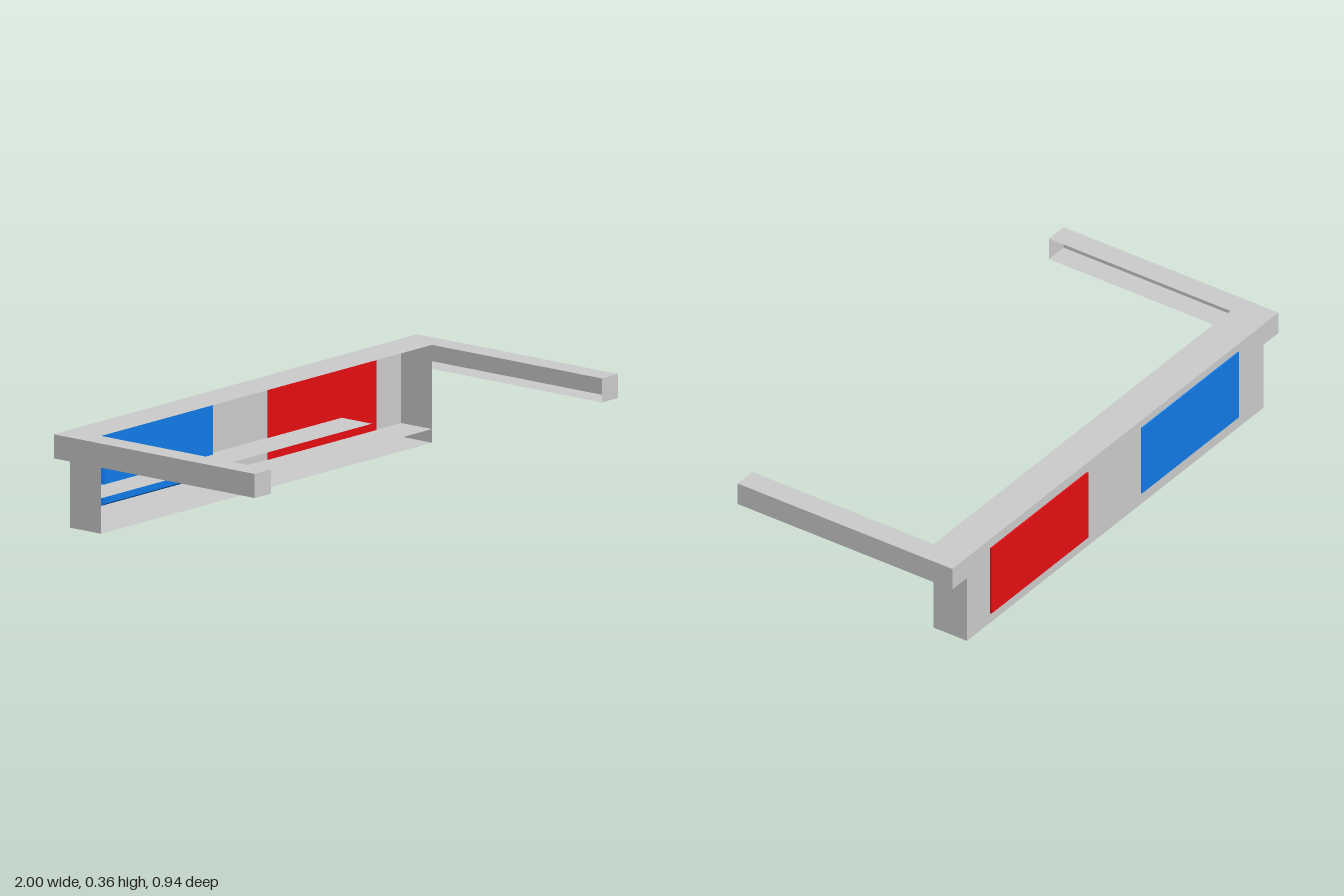
import * as THREE from 'three';

const BACK = -0.465, FRONT = -0.32, TIP = 0.472;   // z of trough back, trough mouth, arm ends
const INNER = 0.91, OUTER = 1, TOP = 0.358, ARM = 0.27;

const grey = new THREE.MeshStandardMaterial({ color: 0xcccccc, flatShading: true, side: THREE.DoubleSide });
const red = new THREE.MeshStandardMaterial({ color: 0xe60d12, flatShading: true });
const blue = new THREE.MeshStandardMaterial({ color: 0x117ae6, flatShading: true });

// Thin sheet spanning two opposite corners; the axis with no extent is its normal
function sheet(name, [x0, y0, z0], [x1, y1, z1]) {
  const w = Math.abs(x1 - x0), h = Math.abs(y1 - y0), d = Math.abs(z1 - z0);
  let geo;
  if (w === 0) geo = new THREE.PlaneGeometry(d, h).rotateY(Math.PI / 2);
  else if (h === 0) geo = new THREE.PlaneGeometry(w, d).rotateX(-Math.PI / 2);
  else geo = new THREE.PlaneGeometry(w, h);
  geo.translate((x0 + x1) / 2, (y0 + y1) / 2, (z0 + z1) / 2);
  const mesh = new THREE.Mesh(geo, grey);
  mesh.name = name;
  return mesh;
}

// Solid block; its front face may be shifted up and sideways by shear
function block(name, mat, [x0, y0, z0], [x1, y1, z1], shear = 0) {
  const geo = new THREE.BoxGeometry(x1 - x0, y1 - y0, z1 - z0);
  const p = geo.attributes.position;
  for (let i = 0; i < p.count; i++) {
    if (p.getZ(i) > 0) p.setXY(i, p.getX(i) + shear, p.getY(i) + shear);
  }
  geo.translate((x0 + x1) / 2, (y0 + y1) / 2, (z0 + z1) / 2);
  geo.computeVertexNormals();
  const mesh = new THREE.Mesh(geo, mat);
  mesh.name = name;
  return mesh;
}

export function createModel() {
  const model = new THREE.Group();
  model.name = 'wingFrame';

  // One U-shaped top plate across the trough and both arms
  const u = new THREE.Shape([
    [-OUTER, -BACK], [-OUTER, -TIP], [-INNER, -TIP], [-INNER, -FRONT],
    [INNER, -FRONT], [INNER, -TIP], [OUTER, -TIP], [OUTER, -BACK],
  ].map(([x, y]) => new THREE.Vector2(x, y)));
  const top = new THREE.Mesh(new THREE.ShapeGeometry(u).rotateX(-Math.PI / 2).translate(0, TOP, 0), grey);
  top.name = 'topPlate';
  model.add(top);

  // Trough, open at the front, with two thin shelves
  const trough = new THREE.Group();
  trough.name = 'trough';
  trough.add(
    sheet('backWall', [-INNER, 0, BACK], [INNER, TOP, BACK]),
    sheet('floor', [-INNER, 0, BACK], [INNER, 0, FRONT]),
    sheet('lowerShelf', [-INNER, 0.05, BACK], [INNER, 0.05, FRONT]),
    sheet('upperShelf', [-INNER, 0.13, BACK], [0.58, 0.13, FRONT]),
  );
  model.add(trough);

  // Arms, channels open on the inner side
  for (const [side, s] of [['left', 1], ['right', -1]]) {
    const arm = new THREE.Group();
    arm.name = side + 'Arm';
    arm.add(
      sheet('outerWall', [s * OUTER, ARM, BACK], [s * OUTER, TOP, TIP]),
      sheet('underside', [s * INNER, ARM, BACK], [s * OUTER, ARM, TIP]),
      sheet('frontCap', [s * INNER, ARM, TIP], [s * OUTER, TOP, TIP]),
      sheet('backCap', [s * INNER, ARM, BACK], [s * OUTER, TOP, BACK]),
    );
    model.add(arm);
    trough.add(sheet(side + 'EndWall', [s * INNER, 0, BACK], [s * INNER, TOP, FRONT]));
  }

  // Coloured panels set through the back wall
  model.add(
    block('redPanel', red, [0.175, 0.042, -0.472], [0.77, 0.32, -0.461]),
    block('bluePanel', blue, [-0.755, 0.045, -0.468], [-0.16, 0.325, -0.447], 0.014),
  );
  return model;
}
